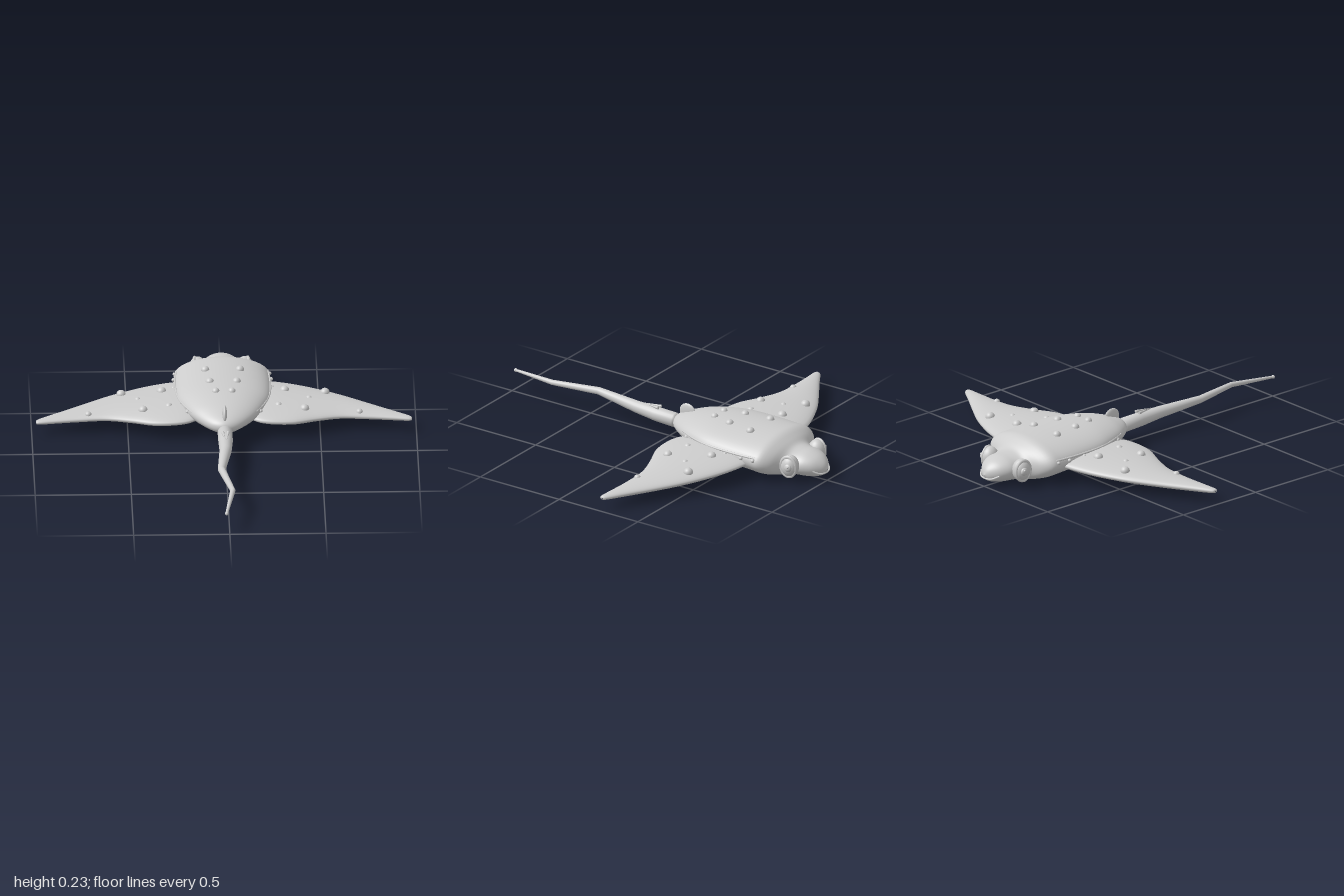
import * as THREE from 'three';

const skin = new THREE.MeshStandardMaterial({ color: 0xcccccc });
skin.name = 'grey skin';

// Loft through elliptical sections [s, a, b, top, bottom]; place(s, u, y) maps each point into space
function loft(sections, steps, sides, place, flip = false) {
  const across = new THREE.CatmullRomCurve3(sections.map(([s, a, b]) => new THREE.Vector3(s, a, b)), false, 'catmullrom');
  const height = new THREE.CatmullRomCurve3(sections.map(([s, , , t, b]) => new THREE.Vector3(s, t, b)), false, 'catmullrom');
  const pos = [], index = [];
  for (let i = 0; i <= steps; i++) {
    const p = across.getPoint(i / steps), h = height.getPoint(i / steps);
    for (let j = 0; j < sides; j++) {
      const t = (j / sides) * Math.PI * 2;
      const u = (p.y + p.z) / 2 + ((p.z - p.y) / 2) * Math.cos(t);
      const y = (h.y + h.z) / 2 + ((h.y - h.z) / 2) * Math.sin(t);
      pos.push(...place(p.x, u, y));
      if (i === steps) continue;
      const a = i * sides + j, b = i * sides + ((j + 1) % sides), c = a + sides, d = b + sides;
      if (flip) index.push(a, c, b, b, c, d);
      else index.push(a, b, c, b, d, c);
    }
  }
  const geo = new THREE.BufferGeometry();
  geo.setAttribute('position', new THREE.Float32BufferAttribute(pos, 3));
  geo.setIndex(index);
  geo.computeVertexNormals();
  return geo;
}

export function createModel() {
  const model = new THREE.Group();
  model.name = 'ray';

  const add = (name, geo, x = 0, y = 0, z = 0) => {
    const mesh = new THREE.Mesh(geo, skin);
    mesh.name = name;
    mesh.position.set(x, y, z);
    model.add(mesh);
    return mesh;
  };
  const ball = (name, x, y, z, rx, ry = rx, rz = rx) => {
    const mesh = add(name, new THREE.SphereGeometry(1, 24, 16), x, y, z);
    mesh.scale.set(rx, ry, rz);
    return mesh;
  };
  const tube = (name, points, r) => add(name, new THREE.TubeGeometry(
    new THREE.CatmullRomCurve3(points.map(p => new THREE.Vector3(...p))), 32, r, 8));

  // Body with snout: z, half width, top, bottom
  const body = [
    [-1, 0.002, 0.072, 0.068], [-0.985, 0.035, 0.105, 0.04], [-0.95, 0.075, 0.135, 0.025],
    [-0.9, 0.102, 0.152, 0.018], [-0.85, 0.108, 0.157, 0.014], [-0.81, 0.135, 0.165, 0.011],
    [-0.775, 0.205, 0.19, 0.009], [-0.73, 0.247, 0.215, 0.008], [-0.67, 0.25, 0.22, 0.01],
    [-0.55, 0.252, 0.221, 0.02], [-0.4, 0.243, 0.22, 0.035], [-0.3, 0.215, 0.215, 0.045],
    [-0.2, 0.172, 0.2, 0.06], [-0.13, 0.125, 0.18, 0.072], [-0.08, 0.08, 0.162, 0.082],
    [-0.055, 0.043, 0.145, 0.095], [-0.042, 0.002, 0.122, 0.118],
  ].map(([z, w, t, b]) => [z, -w, w, t, b]);
  add('body', loft(body, 64, 48, (z, x, y) => [x, y, z]));

  // Tail with angular bends: z, x, y, radius
  const tail = [
    [-0.036, 0, 0.106, 0.001], [-0.035, 0, 0.106, 0.039], [0.08, 0, 0.11, 0.038],
    [0.21, -0.003, 0.117, 0.032], [0.47, -0.03, 0.131, 0.02],
    [0.73, 0.022, 0.132, 0.014], [0.985, -0.016, 0.122, 0.007], [1, -0.016, 0.122, 0.001],
  ].map(([z, x, y, r]) => [z, x - r, x + r, y + r, y - r]);
  add('tail', loft(tail, tail.length - 1, 20, (z, x, y) => [x, y, z]));
  ball('tailTip', -0.016, 0.122, 0.988, 0.01);

  // Dorsal fin
  ball('dorsalFin', 0, 0.172, -0.115, 0.013, 0.047, 0.05);

  // Mouth line around the snout
  tube('mouth', [[-0.07, 0.07, -0.955], [-0.04, 0.054, -0.985], [0, 0.05, -0.992],
    [0.04, 0.054, -0.985], [0.07, 0.07, -0.955]], 0.005);

  // Wing: x, leading z, trailing z, top, bottom
  const wing = [
    [0.13, -0.64, -0.21, 0.132, 0.075], [0.19, -0.66, -0.17, 0.14, 0.063],
    [0.27, -0.652, -0.157, 0.141, 0.056], [0.37, -0.625, -0.167, 0.136, 0.053],
    [0.48, -0.58, -0.212, 0.128, 0.052], [0.61, -0.513, -0.252, 0.117, 0.052],
    [0.75, -0.422, -0.255, 0.105, 0.052], [0.88, -0.335, -0.247, 0.094, 0.055],
    [0.965, -0.28, -0.24, 0.084, 0.06], [0.978, -0.262, -0.254, 0.074, 0.07],
  ];

  for (const side of [1, -1]) {
    const label = side > 0 ? 'left' : 'right';
    add(label + 'Wing', loft(wing, 48, 32, (x, z, y) => [side * x, y, z], side > 0));

    // Round spots on wings and back: x, y, z, radius
    for (const [x, y, z, r] of [
      [0.32, 0.131, -0.49, 0.025], [0.53, 0.116, -0.49, 0.025], [0.285, 0.126, -0.315, 0.02],
      [0.42, 0.122, -0.283, 0.024], [0.445, 0.12, -0.41, 0.017], [0.705, 0.097, -0.29, 0.018],
      [0.09, 0.212, -0.575, 0.022], [0.07, 0.212, -0.43, 0.022], [0.042, 0.211, -0.315, 0.02],
    ]) ball(label + 'Spot', side * x, y, z, r);

    // Seam along the flank with small beads
    const seam = [[0.238, 0.142, -0.71], [0.246, 0.142, -0.58], [0.24, 0.143, -0.42],
      [0.213, 0.143, -0.31], [0.165, 0.144, -0.2]].map(([x, y, z]) => [side * x, y, z]);
    tube(label + 'FlankSeam', seam, 0.006);
    for (const [x, z] of [[0.247, -0.7], [0.254, -0.63], [0.256, -0.53], [0.25, -0.44], [0.228, -0.35], [0.19, -0.24]])
      ball(label + 'FlankBead', side * x, 0.131, z, 0.01);

    // Eye, lid, pupil and glint
    ball(label + 'Eye', side * 0.122, 0.097, -0.85, 0.046, 0.06, 0.049);
    const lid = add(label + 'EyeLid', new THREE.TorusGeometry(0.042, 0.009, 10, 32), side * 0.14, 0.097, -0.851);
    lid.rotation.y = side * (Math.PI / 2 + 0.15);
    lid.scale.y = 1.25;
    ball(label + 'Pupil', side * 0.16, 0.1, -0.862, 0.014, 0.022, 0.021);
    ball(label + 'EyeGlint', side * 0.171, 0.108, -0.868, 0.006);

    // Barb on the tail
    const barb = add(label + 'TailBarb', new THREE.ConeGeometry(0.008, 0.1, 10), side * 0.008, 0.153, 0.112);
    barb.rotation.set(Math.PI / 2, 0, side * 0.12);
  }
  return model;
}
